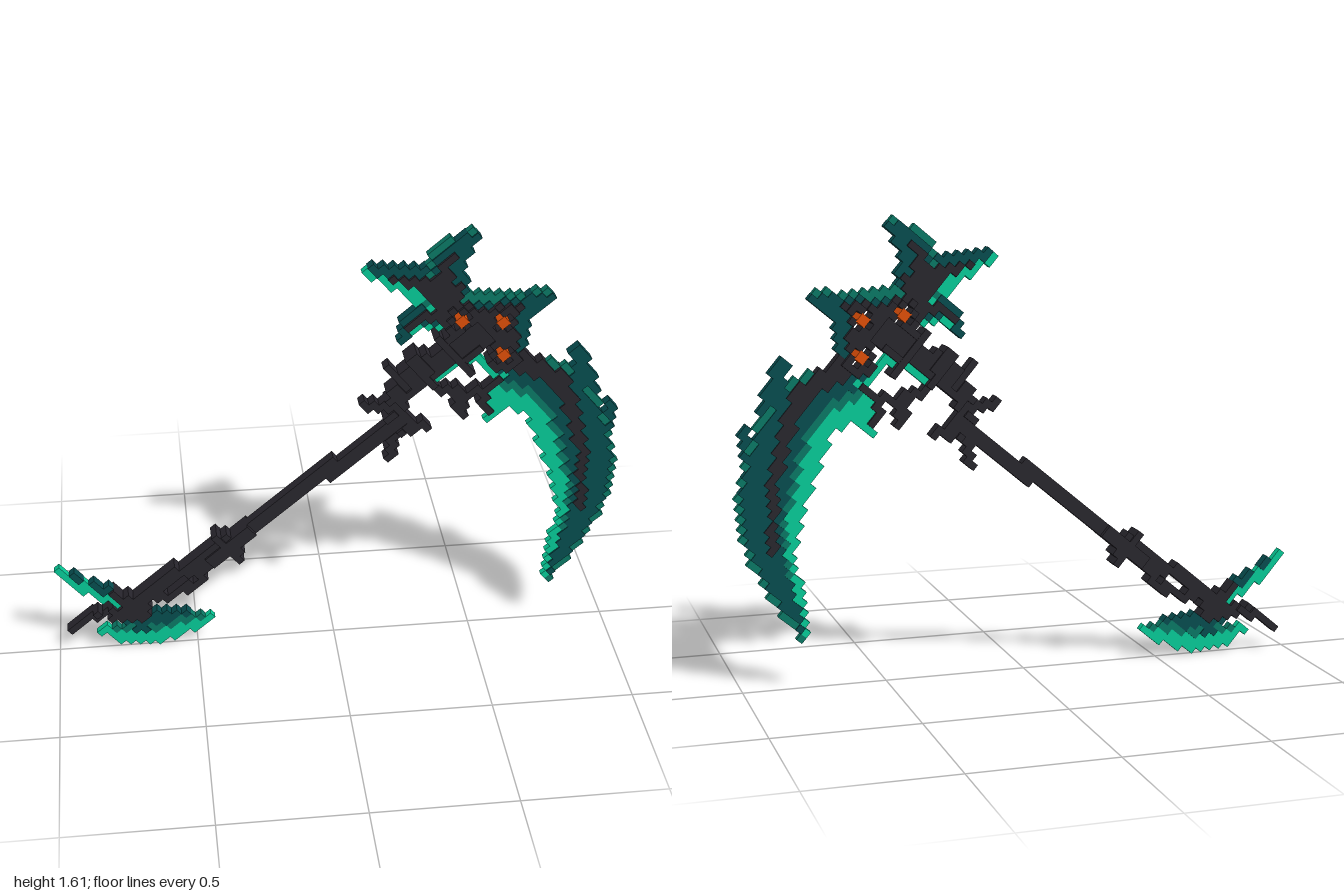
import * as THREE from 'three';
import { mergeGeometries } from 'three/addons/utils/BufferGeometryUtils.js';

const CELL = 0.025, ANGLE = 40 * Math.PI / 180, REACH = 70;
const COS = Math.cos(ANGLE), SIN = Math.sin(ANGLE);

const mat = (name, color) => {
  const m = new THREE.MeshStandardMaterial({ color });
  m.name = name;
  return m;
};

// Region between two signed offsets (functions of t) from a smooth curve; left of travel is positive
const band = (points, lo, hi) => {
  const curve = new THREE.SplineCurve(points.map(p => new THREE.Vector2(...p)));
  const steps = 50, samples = [];
  for (let k = 0; k <= steps; k++) {
    samples.push({ t: k / steps, p: curve.getPoint(k / steps), d: curve.getTangent(k / steps) });
  }
  return (x, y) => {
    let best = samples[0], min = Infinity;
    for (const s of samples) {
      const dist = Math.hypot(x - s.p.x, y - s.p.y);
      if (dist < min) { min = dist; best = s; }
    }
    const { t, p, d } = best, dx = x - p.x, dy = y - p.y;
    if (Math.abs(dx * d.x + dy * d.y) > CELL * 0.8) return false;
    const side = d.x * dy - d.y * dx;
    return side > lo(t) && side < hi(t);
  };
};

// Tapered stroke with half width running from w0 to w1
const stroke = (points, w0, w1 = w0) => {
  const w = t => w0 + (w1 - w0) * t;
  return band(points, t => -w(t), w);
};

export function createModel() {
  const black = mat('charcoal', 0x28262d), dark = mat('deepTeal', 0x064c4e);
  const mid = mat('teal', 0x0a7764), bright = mat('brightGreen', 0x06c896);
  const orange = mat('emberOrange', 0xdc4e08);

  const model = new THREE.Group();
  model.name = 'scythe';
  const grid = new Map(), parts = [];
  const key = (i, j) => i + ',' + j;

  // Claim the tilted grid cells of a region; later parts replace earlier ones
  const paint = (name, material, half, ...regions) => {
    const part = { name, material, half };
    parts.push(part);
    for (let i = -REACH; i <= REACH; i++) for (let j = -REACH; j <= REACH; j++) {
      const x = (i * COS - j * SIN) * CELL, y = (i * SIN + j * COS) * CELL;
      if (regions.some(inside => inside(x, y))) grid.set(key(i, j), part);
    }
  };

  // Main blade: bands across one spine curve, with barbs on the outer edge
  const spine = [[.61, 1.11], [.79, 1.0], [.88, .75], [.89, .5], [.79, .2]];
  const inner = t => -.012 - .17 * (1 - t * t);
  const outer = t => .014 + .095 * Math.sin(Math.PI * t ** 1.2);
  paint('bladeBody', dark, .018, band(spine, inner, outer),
    stroke([[.87, .98], [.843, 1.13]], .055, .016), stroke([[.9, .99], [.92, .92]], .02),
    stroke([[.95, .75], [.973, .9]], .03, .014));
  paint('bladeRim', mid, .012, band(spine, t => outer(t) - .016, outer));
  paint('bladeBevel', mid, .015, band(spine, inner, t => inner(t) * .45));
  paint('bladeEdge', bright, .012, band(spine, inner, t => inner(t) * .66 + .008),
    stroke([[.6, .96], [.54, .89]], .03, .014));
  paint('bladeSpine', black, .024, stroke(spine.slice(0, 3), .04, .02),
    stroke(spine.slice(2, 4), .02, .014));

  // Winged crest: four tapering arms, each with a rim and a dark core
  const arms = [
    { path: [[.4, 1.36], [.27, 1.42], [.115, 1.465]], width: .095, rim: bright, share: .1 },
    { path: [[.39, 1.32], [.375, 1.48], [.47, 1.585]], width: .09, rim: mid, share: .7 },
    { path: [[.45, 1.28], [.6, 1.3], [.735, 1.345]], width: .09, rim: mid, share: .6 },
    { path: [[.4, 1.29], [.275, 1.28], [.23, 1.19]], width: .065, rim: bright, share: .5 },
  ];
  const taper = width => t => .014 + (width - .014) * (1 - t ** 1.4);
  for (const { path, width } of arms) {
    const edge = taper(width);
    paint('crestArm', dark, .02, band(path, t => -edge(t), edge));
  }
  for (const { path, width, rim, share } of arms) {
    const edge = taper(width);
    paint('crestRim', rim, .014, band(path, t => edge(t) * share, edge));
  }
  for (const { path, width } of arms) paint('crestCore', black, .03, stroke(path, width * .55, -.012));

  // Head block around the eyes, with a glow at the throat and a teal cheek
  paint('throatGlow', bright, .014, stroke([[.36, 1.07], [.48, 1.12], [.57, 1.04]], .02));
  paint('headBlock', black, .04, stroke([[.4, 1.27], [.59, 1.26]], .055),
    stroke([[.575, 1.28], [.585, 1.1]], .05), stroke([[.42, 1.17], [.56, 1.24]], .05));
  paint('cheek', dark, .02, stroke([[.638, 1.29], [.645, 1.16]], .02));

  // Curved neck with bindings
  paint('neck', black, .034, stroke([[.5, 1.22], [.31, 1.09], [.23, 1.01]], .042),
    stroke([[.23, 1.04], [.22, .95], [.21, .86]], .032));
  paint('neckBinding', black, .042, stroke([[.27, 1.13], [.37, 1.0]], .02),
    stroke([[.36, 1.2], [.46, 1.09]], .02));

  // Thorny growth on the neck
  paint('thorns', black, .024, stroke([[.11, .965], [.22, .955]], .017),
    stroke([[.185, 1.1], [.24, 1.04]], .017), stroke([[.2, .88], [.2, .76]], .017),
    stroke([[.21, .88], [.305, .87]], .017), stroke([[.24, .93], [.27, .86]], .017),
    stroke([[.36, 1.01], [.46, .98], [.57, 1.03]], .016),
    stroke([[.44, .99], [.437, .91]], .02), stroke([[.5, .99], [.535, .92]], .016));

  // Tail fins
  paint('tailSpikeBack', dark, .018, stroke([[-.94, .325], [-.85, .265], [-.74, .19]], .014, .03));
  paint('tailSpike', bright, .013, stroke([[-.97, .335], [-.87, .25], [-.79, .2]], .016));
  const fin = [[-.83, .075], [-.66, .065], [-.465, .105]];
  const bulge = t => Math.sin(Math.PI * t);
  paint('tailFin', bright, .013, band(fin, t => -.014 - .043 * bulge(t), t => .014 + .03 * bulge(t)));
  paint('tailFinBevel', mid, .016, band(fin, t => .014 - .008 * bulge(t), t => .055 * bulge(t)));
  paint('tailFinRoot', dark, .02, band(fin, t => .06 - .03 * bulge(t), t => .09 * bulge(t)),
    stroke([[-.74, .16], [-.7, .09]], .025));

  // Shaft, split grip, guard and pommel
  paint('shaft', black, .021, stroke([[.22, .885], [-.37, .435]], .027));
  paint('grip', black, .03, stroke([[-.35, .455], [-.71, .215]], .024),
    stroke([[-.45, .37], [-.49, .285], [-.59, .23], [-.7, .21]], .016));
  paint('guard', black, .038, stroke([[-.32, .47], [-.43, .38]], .03),
    stroke([[-.415, .46], [-.345, .39]], .018));
  paint('pommel', black, .03, stroke([[-.69, .22], [-.77, .16]], .032),
    stroke([[-.68, .24], [-.69, .14]], .018), stroke([[-.85, .15], [-.68, .15]], .018),
    stroke([[-.79, .24], [-.73, .2]], .016));
  paint('pommelSpike', black, .022, stroke([[-.94, .1], [-.83, .155]], .017));

  // Eyes: a floating gem inside a cross-shaped opening
  const eyes = [[.425, 1.27], [.575, 1.27], [.587, 1.14]].map(([x, y]) =>
    [Math.round((x * COS + y * SIN) / CELL), Math.round((y * COS - x * SIN) / CELL)]);
  for (const [i, j] of eyes)
    for (const [a, b] of [[0, 0], [1, 0], [-1, 0], [0, 1], [0, -1]]) grid.delete(key(i + a, j + b));

  // One tilted bar covering cells i0 to i1 of row j
  const bar = (i0, i1, j, half, size = CELL) =>
    new THREE.BoxGeometry((i1 - i0) * CELL + size, size, half * 2)
      .translate((i0 + i1) / 2 * CELL, j * CELL, 0).rotateZ(ANGLE);
  const add = (name, material, bars) => {
    const mesh = new THREE.Mesh(mergeGeometries(bars), material);
    mesh.name = name;
    mesh.position.z = name === 'pommelSpike' ? -.02 : 0;
    model.add(mesh);
  };

  // Join neighbouring cells of each part into bars
  for (const part of parts) {
    const bars = [];
    for (let j = -REACH; j <= REACH; j++) for (let i = -REACH; i <= REACH; i++) {
      if (grid.get(key(i, j)) !== part) continue;
      const start = i;
      while (grid.get(key(i + 1, j)) === part) i++;
      bars.push(bar(start, i, j, part.half));
    }
    if (bars.length) add(part.name, part.material, bars);
  }
  add('eyeGems', orange, eyes.map(([i, j]) => bar(i, i, j, .042, .036)));
  return model;
}
